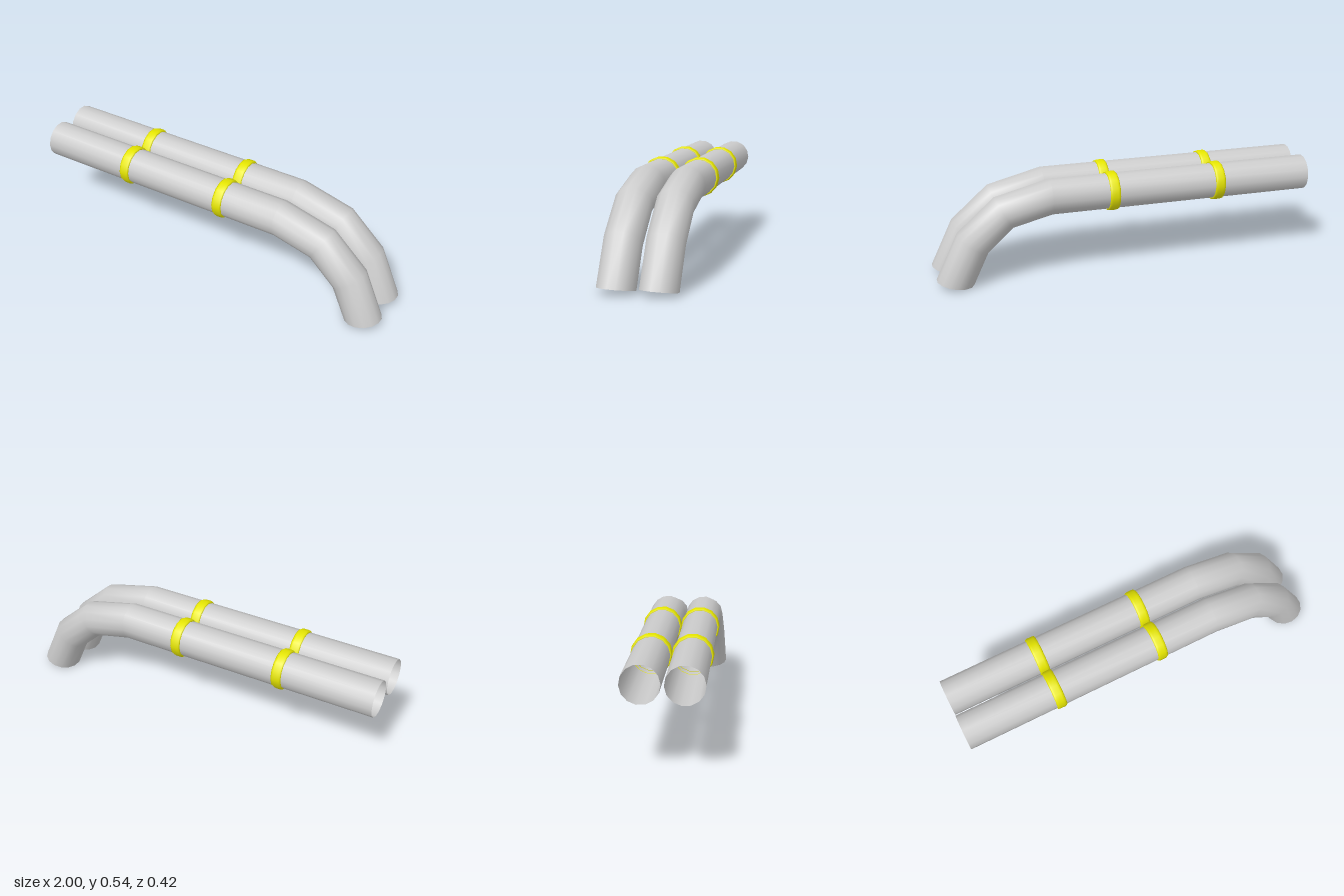
import * as THREE from 'three';

const SIDES = 14;
const AXIS_Y = 0.4425;

// Pipe stations: centre x, y (relative to the straight axis) and the mitre half-vector
const STATIONS = [
  [-1, 0, 0, 0.0935],
  [0.403, 0, 0.004, 0.0935],
  [0.645, -0.061, 0.046, 0.082],
  [0.81, -0.212, 0.077, 0.0565],
  [0.906, -0.42, 0.0955, 0.018],
];

// Open tube swept through the mitred stations
function pipeGeometry() {
  const pos = [], index = [];
  for (const [x, y, hx, hy] of STATIONS) {
    for (let i = 0; i < SIDES; i++) {
      const a = (i / SIDES) * Math.PI * 2;
      const s = Math.sin(a);
      pos.push(x + hx * s, y + hy * s, 0.094 * Math.cos(a));
    }
  }
  for (let j = 0; j < STATIONS.length - 1; j++) {
    for (let i = 0; i < SIDES; i++) {
      const k = (i + 1) % SIDES;
      const a = j * SIDES + i, b = j * SIDES + k;
      const c = a + SIDES, d = b + SIDES;
      index.push(a, b, c, b, d, c);
    }
  }
  const geo = new THREE.BufferGeometry();
  geo.setAttribute('position', new THREE.Float32BufferAttribute(pos, 3));
  geo.setIndex(index);
  geo.computeVertexNormals();
  return geo;
}

// Bevelled clamp band around the x axis
function bandGeometry() {
  const profile = [
    [0.091, -0.025], [0.098, -0.027], [0.1015, -0.022], [0.1035, -0.013],
    [0.1035, 0.013], [0.1015, 0.022], [0.098, 0.027], [0.091, 0.025],
  ].map(([r, h]) => new THREE.Vector2(r, h));
  const geo = new THREE.LatheGeometry(profile, SIDES);
  geo.rotateZ(-Math.PI / 2);
  return geo;
}

export function createModel() {
  const model = new THREE.Group();
  model.name = 'twinPipes';
  const grey = new THREE.MeshStandardMaterial({ color: 0xcccccc, side: THREE.DoubleSide });
  const yellow = new THREE.MeshStandardMaterial({ color: 0xe6e600, side: THREE.DoubleSide });
  const pipeGeo = pipeGeometry();
  const bandGeo = bandGeometry();

  for (const [side, z] of [['front', 0.097], ['back', -0.105]]) {
    const assembly = new THREE.Group();
    assembly.name = side + 'PipeAssembly';
    assembly.position.set(0, AXIS_Y, z);
    assembly.rotation.x = -0.046; // bend leans slightly forward

    const pipe = new THREE.Mesh(pipeGeo, grey);
    pipe.name = side + 'Pipe';
    assembly.add(pipe);

    // Two clamp bands per pipe
    for (const x of [-0.495, 0.081]) {
      const band = new THREE.Mesh(bandGeo, yellow);
      band.name = side + 'ClampBand';
      band.position.x = x;
      assembly.add(band);
    }
    model.add(assembly);
  }
  return model;
}
